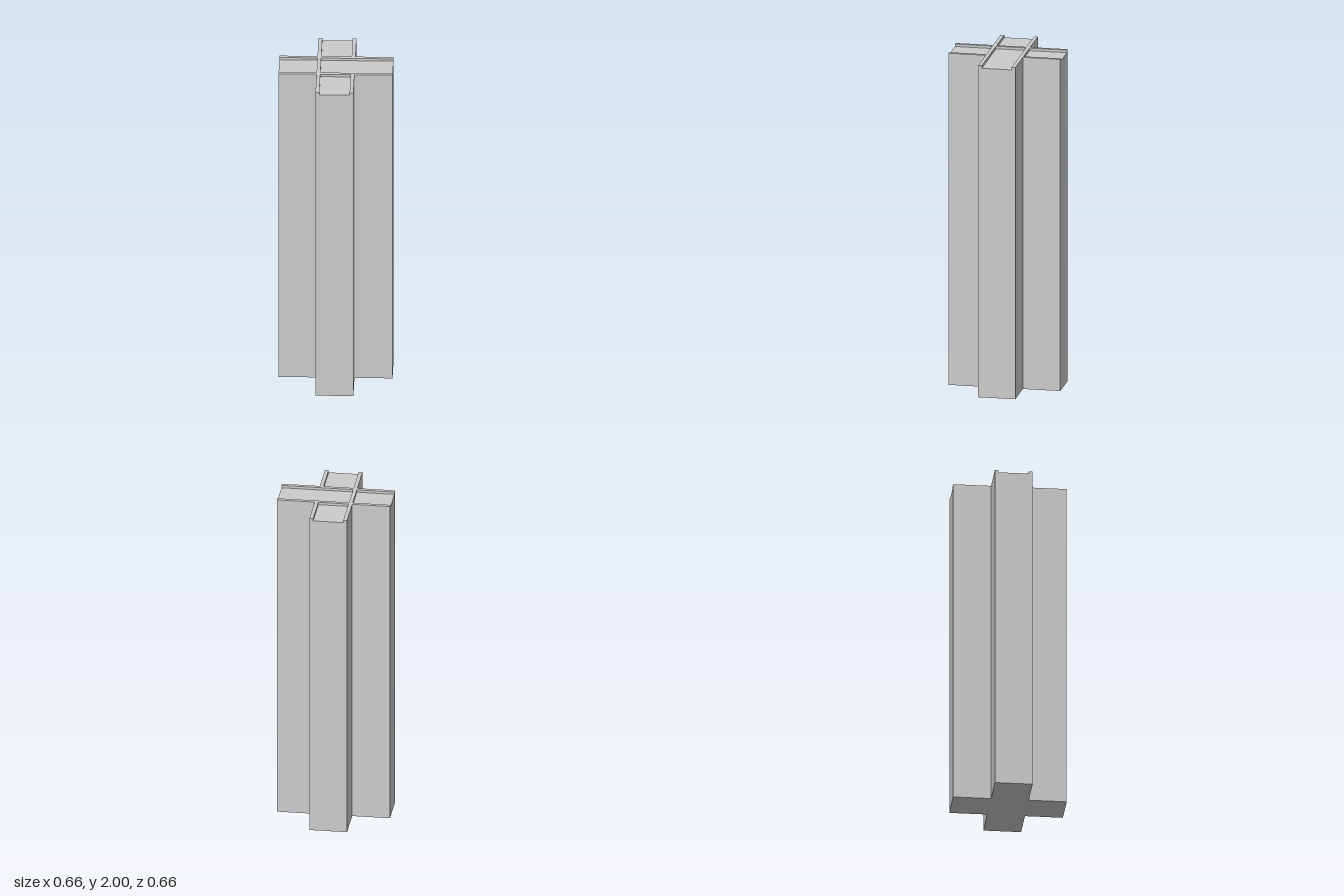
import * as THREE from 'three';

const ARM = 0.331;    // half span of the cross
const HALF = 0.11;    // half width of an arm
const RIM = 0.022;    // rim thickness
const FLOOR = 1.985;  // top of the solid column
const TOP = 2;

export function createModel() {
  const group = new THREE.Group();
  const material = new THREE.MeshStandardMaterial({ color: 0xcccccc, flatShading: true });

  // Cross-shaped column: one quarter of the outline, turned four times
  const points = [];
  for (let i = 0; i < 4; i++) {
    for (const [x, y] of [[ARM, -HALF], [ARM, HALF], [HALF, HALF]]) {
      points.push(new THREE.Vector2(x, y).rotateAround(new THREE.Vector2(), i * Math.PI / 2));
    }
  }
  const columnGeometry = new THREE.ExtrudeGeometry(new THREE.Shape(points), { depth: FLOOR, bevelEnabled: false });
  columnGeometry.rotateX(-Math.PI / 2);
  const column = new THREE.Mesh(columnGeometry, material);
  column.name = 'crossColumn';
  group.add(column);

  // Thin raised rims on the top face
  const addRim = (name, x0, x1, z0, z1) => {
    const rim = new THREE.Mesh(new THREE.BoxGeometry(x1 - x0, TOP - FLOOR, z1 - z0), material);
    rim.position.set((x0 + x1) / 2, (FLOOR + TOP) / 2, (z0 + z1) / 2);
    rim.name = name;
    group.add(rim);
  };
  const inner = HALF - RIM;

  // Long rims running the full width
  addRim('frontLongRim', -ARM, ARM, inner, HALF);
  addRim('backLongRim', -ARM, ARM, -HALF, -inner);

  // Side rims of the front and back arms
  for (const [side, x0] of [['left', inner], ['right', -HALF]]) {
    addRim(`${side}FrontArmRim`, x0, x0 + RIM, HALF, ARM);
    addRim(`${side}BackArmRim`, x0, x0 + RIM, -ARM, -HALF);
  }

  // Single divider between the centre and the right arm
  addRim('centreDivider', -HALF, -inner, -inner, inner);

  return group;
}
